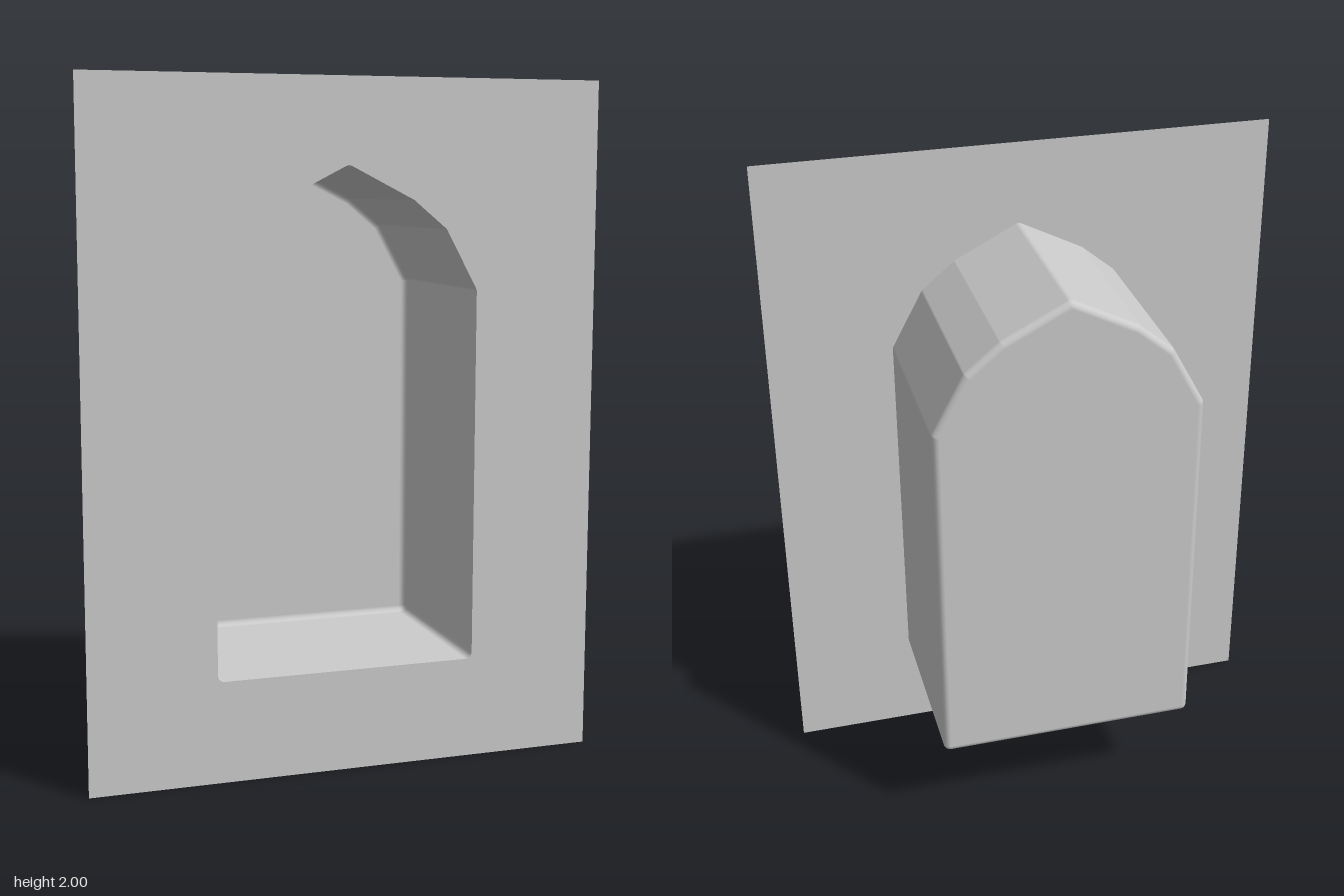
import * as THREE from 'three';

const FRONT = 0.285, BACK = -0.285, R = 0.02, STEPS = 4;

// Half of the pointed arch, mirrored to a counter-clockwise outline
const half = [[0.39, 0.3], [0.39, 1.4], [0.295, 1.575], [0.195, 1.658]];
const outline = [
  ...half, [0, 1.757],
  ...half.map(([x, y]) => [-x, y]).reverse(),
].map(([x, y]) => new THREE.Vector2(x, y));

// Each corner becomes an arc: its centre plus a fan of outward normals
function roundedCorners(points) {
  const n = points.length, fan = [], centres = [];
  const normal = (a, b) => new THREE.Vector2(b.y - a.y, a.x - b.x).normalize();
  points.forEach((p, i) => {
    const n0 = normal(points[(i + n - 1) % n], p);
    const n1 = normal(p, points[(i + 1) % n]);
    const miter = n0.clone().add(n1).multiplyScalar(R / (1 + n0.dot(n1)));
    const centre = p.clone().sub(miter);
    const turn = Math.acos(THREE.MathUtils.clamp(n0.dot(n1), -1, 1));
    centres.push(centre);
    for (let k = 0; k <= STEPS; k++) {
      const dir = n0.clone().rotateAround(new THREE.Vector2(), turn * k / STEPS);
      fan.push({ centre, dir });
    }
  });
  return { fan, centres };
}

// Side walls that roll over a small radius into the back
function wallGeometry(fan) {
  const pos = [], nor = [], idx = [], n = fan.length;
  const rings = [[FRONT, 0]];
  for (let k = 0; k <= STEPS; k++) {
    const t = (Math.PI / 2) * k / STEPS;
    rings.push([BACK + R - R * Math.sin(t), t]);
  }
  rings.forEach(([z, t], j) => fan.forEach(({ centre, dir }, i) => {
    const c = Math.cos(t);
    pos.push(centre.x + dir.x * R * c, centre.y + dir.y * R * c, z);
    nor.push(dir.x * c, dir.y * c, -Math.sin(t));
    if (j < rings.length - 1) {
      const a = j * n + i, b = j * n + (i + 1) % n;
      idx.push(a, a + n, b, b, a + n, b + n);
    }
  }));
  const geo = new THREE.BufferGeometry();
  geo.setAttribute('position', new THREE.Float32BufferAttribute(pos, 3));
  geo.setAttribute('normal', new THREE.Float32BufferAttribute(nor, 3));
  geo.setIndex(idx);
  return geo;
}

export function createModel() {
  const group = new THREE.Group();
  group.name = 'archedNiche';
  const material = new THREE.MeshStandardMaterial({ color: 0xcccccc, side: THREE.DoubleSide });
  const add = (name, geometry, z = 0) => {
    const mesh = new THREE.Mesh(geometry, material);
    mesh.name = name;
    mesh.position.z = z;
    group.add(mesh);
  };
  const { fan, centres } = roundedCorners(outline);

  // Thin wall sheet with the arched opening
  const sheet = new THREE.Shape([[-0.765, 0], [0.765, 0], [0.765, 2], [-0.765, 2]]
    .map(([x, y]) => new THREE.Vector2(x, y)));
  sheet.holes.push(new THREE.Path(fan.map(({ centre, dir }) => centre.clone().addScaledVector(dir, R))));
  add('wallSheet', new THREE.ShapeGeometry(sheet), FRONT);

  // Recess behind the opening
  add('nicheSides', wallGeometry(fan));
  add('nicheBack', new THREE.ShapeGeometry(new THREE.Shape(centres)), BACK);

  return group;
}
